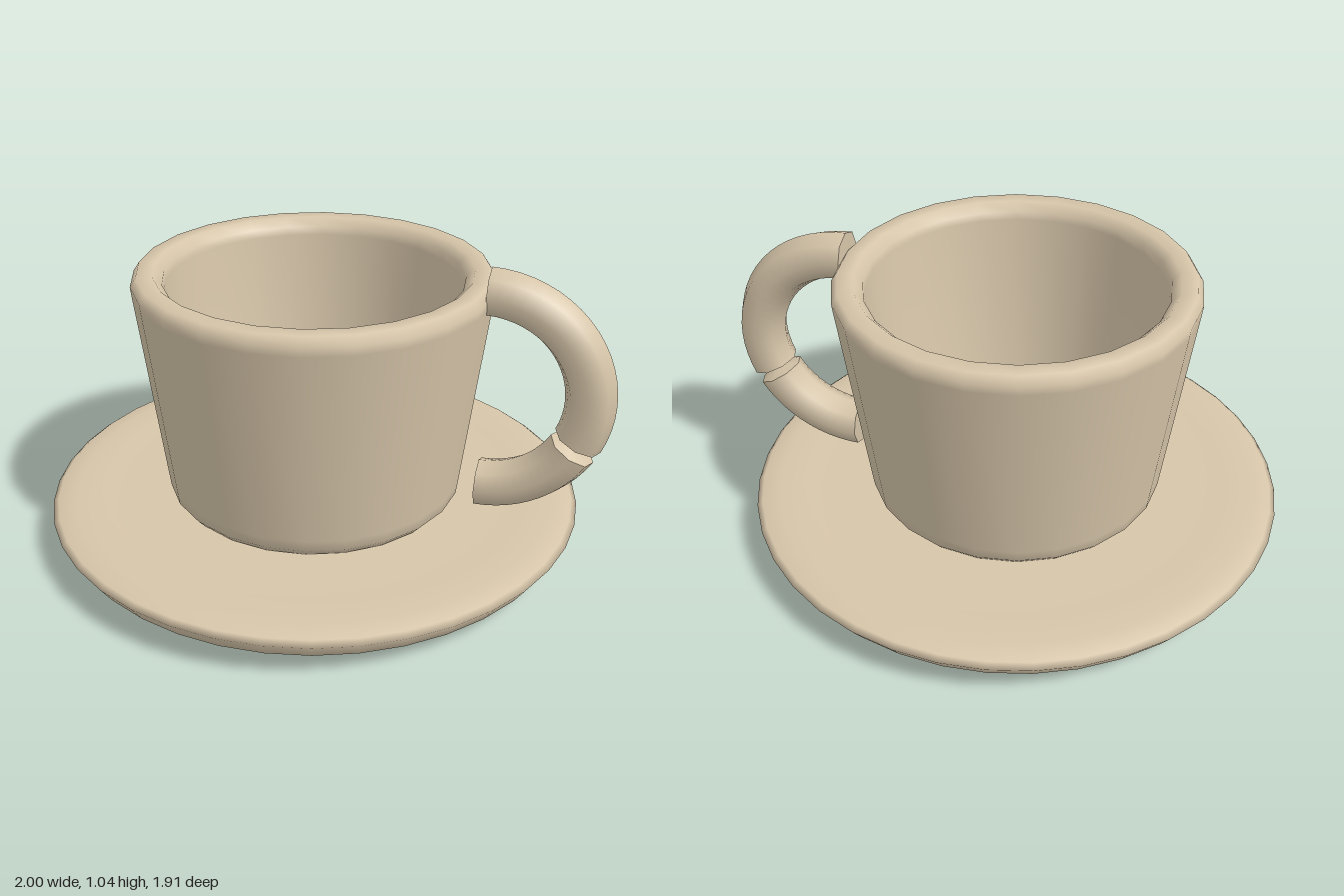
import * as THREE from 'three';

const R = 0.357, TUBE = 0.085, SIDES = 8;
const rad = THREE.MathUtils.degToRad;

export function createModel() {
  const group = new THREE.Group();
  const clay = new THREE.MeshStandardMaterial({ color: 0xd6c5a9 });
  clay.name = 'beige clay';

  const add = (parent, name, geometry) => {
    const mesh = new THREE.Mesh(geometry, clay);
    mesh.name = name;
    parent.add(mesh);
    return mesh;
  };
  const lathe = (profile, sides) =>
    new THREE.LatheGeometry(profile.map(([x, y]) => new THREE.Vector2(x, y)), sides);

  // Cup and saucer share an axis left of the middle, balancing the handle
  const axisX = -0.045;

  // Saucer: flat underside, flared edge, rounded lip, shallow dip
  add(group, 'saucer', lathe([
    [0, 0], [0.8, 0], [0.825, 0.002], [0.915, 0.07], [0.955, 0.13], [0.935, 0.145],
    [0.87, 0.155], [0.76, 0.155], [0.7, 0.148], [0, 0.145],
  ], 40)).position.x = axisX;

  // Cup: tapered wall with bevelled foot and rim, then the cavity
  add(group, 'cup', lathe([
    [0, 0.146], [0.5, 0.146], [0.51, 0.157], [0.53, 0.18], [0.535, 0.22],
    [0.617, 0.92], [0.62, 0.95], [0.6, 0.98], [0.545, 0.98], [0.515, 0.95],
    [0.512, 0.92], [0.44, 0.3], [0.4, 0.25], [0, 0.23],
  ], 24)).position.x = axisX;

  // Handle: two arcs of one ring, with a narrow break between them
  const handle = new THREE.Group();
  handle.name = 'handle';
  handle.position.set(0.56, 0.603, 0);
  group.add(handle);

  const cap = (name, angle, height, flip) => {
    const g = new THREE.ConeGeometry(TUBE, height, SIDES, 1, true);
    g.translate(0, height / 2, 0);
    if (flip) g.rotateX(Math.PI);
    g.translate(R, 0, 0).rotateZ(rad(angle));
    add(handle, name, g);
  };
  const arc = (name, from, to, startTip, endTip) => {
    const g = new THREE.TorusGeometry(R, TUBE, SIDES, Math.ceil((to - from) / 6), rad(to - from));
    add(handle, name, g.rotateZ(rad(from)));
    cap(name + 'StartCap', from, startTip, true);
    cap(name + 'EndCap', to, endTip, false);
  };
  arc('upperHandle', -23, 90, 0.012, 0.002);
  arc('lowerHandle', -90, -29, 0.002, 0.028);

  return group;
}
